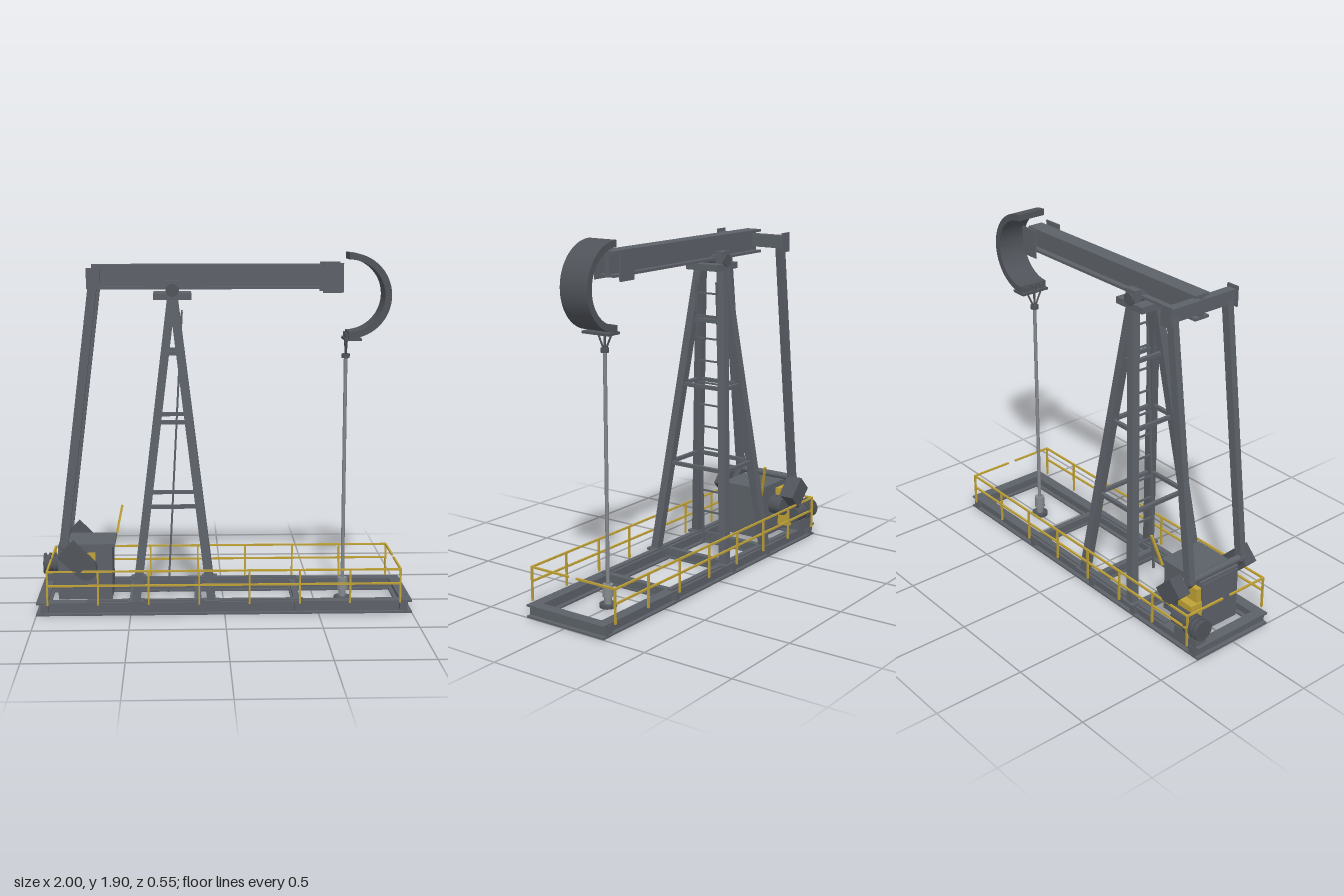
import * as THREE from 'three';
import { toCreasedNormals } from 'three/addons/utils/BufferGeometryUtils.js';

export function createModel() {
  const root = new THREE.Group();
  root.name = 'pumpJack';
  const mat = (name, color) => {
    const m = new THREE.MeshStandardMaterial({ color });
    m.name = name;
    return m;
  };
  const steel = mat('steel grey', 0x5c6168);
  const dark = mat('dark steel', 0x50545a);
  const bright = mat('bare metal', 0x84888c);
  const yellow = mat('safety yellow', 0xbfa136);

  const V = (x, y, z) => new THREE.Vector3(x, y, z);
  const add = (name, geo, m, parent = root) => {
    const mesh = new THREE.Mesh(geo, m);
    mesh.name = name;
    parent.add(mesh);
    return mesh;
  };
  // box given by its min and max on each axis
  const box = (name, m, x0, x1, y0, y1, z0, z1, parent = root) => {
    const b = add(name, new THREE.BoxGeometry(x1 - x0, y1 - y0, z1 - z0), m, parent);
    b.position.set((x0 + x1) / 2, (y0 + y1) / 2, (z0 + z1) / 2);
    return b;
  };
  // rectangular bar between two points: w across, d deep along z (or y for bars along z)
  const bar = (name, m, a, b, w, d, parent = root) => {
    const mesh = add(name, new THREE.BoxGeometry(w, d, a.distanceTo(b)), m, parent);
    const dir = b.clone().sub(a);
    if (Math.abs(dir.z) < 0.8 * dir.length()) mesh.up.set(0, 0, 1);
    mesh.position.copy(a).lerp(b, 0.5);
    mesh.lookAt(b);
    return mesh;
  };
  // round rod between two points
  const rod = (name, m, a, b, r, parent = root, seg = 12, r2 = r) => {
    const mesh = add(name, new THREE.CylinderGeometry(r2, r, a.distanceTo(b), seg), m, parent);
    mesh.position.copy(a).lerp(b, 0.5);
    mesh.quaternion.setFromUnitVectors(V(0, 1, 0), b.clone().sub(a).normalize());
    return mesh;
  };
  // I-section girder running along z, centred on its own origin
  const girder = (name, m, len, h, w, flange, web, parent = root) => {
    const s = new THREE.Shape();
    const a = w / 2, b = web / 2, t = h / 2, f = t - flange;
    [[-a, -t], [a, -t], [a, -f], [b, -f], [b, f], [a, f], [a, t], [-a, t], [-a, f], [-b, f], [-b, -f], [-a, -f]]
      .forEach(([x, y], i) => (i ? s.lineTo(x, y) : s.moveTo(x, y)));
    const g = new THREE.ExtrudeGeometry(s, { depth: len, bevelEnabled: false });
    g.translate(0, 0, -len / 2);
    return add(name, g, m, parent);
  };
  const group = (name) => {
    const g = new THREE.Group();
    g.name = name;
    root.add(g);
    return g;
  };

  // skid base
  const base = group('skidBase');
  for (const s of [-1, 1]) {
    const side = girder('sideGirder', steel, 1.9, 0.07, 0.06, 0.01, 0.014, base);
    side.rotation.y = Math.PI / 2;
    side.position.set(0, 0.04, s * 0.22);
    girder('endGirder', steel, 0.5, 0.07, 0.06, 0.01, 0.014, base).position.set(s * 0.97, 0.04, 0);
    box('deckStrip', steel, -0.73, 0.42, 0.075, 0.084, s * 0.22 - 0.015, s * 0.22 + 0.015, base);
    for (const x of [-0.95, -0.49, -0.14, 0.39, 0.95])
      box('stiffener', steel, x - 0.016, x + 0.016, 0.022, 0.066, s * 0.235 - 0.018, s * 0.235 + 0.018, base);
  }
  for (const x of [-0.49, -0.14, 0.39])
    girder('crossGirder', steel, 0.43, 0.06, 0.034, 0.009, 0.012, base).position.set(x, 0.042, 0);

  // handrail around the skid, open in the middle of each end
  const rail = group('handrail');
  for (const s of [-1, 1]) {
    for (let i = 0; i < 8; i++) {
      const x = -0.937 + i * 0.267;
      bar('post', yellow, V(x, 0.07, s * 0.27), V(x, 0.255, s * 0.27), 0.01, 0.01, rail);
    }
    for (const y of [0.175, 0.252])
      bar('longRail', yellow, V(-0.94, y, s * 0.27), V(0.935, y, s * 0.27), 0.01, 0.01, rail);
    for (const x of [-0.937, 0.932])
      bar('endRail', yellow, V(x, 0.252, s * 0.27), V(x, 0.252, s * 0.025), 0.01, 0.01, rail);
  }

  // four-legged tower
  const tower = group('tower');
  const legAt = (sx, sz, y) => {
    const t = (y - 0.08) / 1.58;
    return V(-0.27 + sx * (0.2 - 0.193 * t), y, sz * (0.232 - 0.157 * t));
  };
  for (const s of [-1, 1]) {
    for (const q of [-1, 1]) {
      bar('leg', steel, legAt(s, q, 0.08), legAt(s, q, 1.67), 0.045, 0.045, tower);
      box('footPlate', steel, -0.27 + s * 0.2 - 0.042, -0.27 + s * 0.2 + 0.042, 0.074, 0.086,
        q * 0.235 - 0.034, q * 0.235 + 0.034, tower);
    }
    for (const y of [0.58, 1.025, 1.385]) {
      bar('sideBrace', steel, legAt(-1, s, y), legAt(1, s, y), 0.02, 0.02, tower);
      bar('crossBrace', steel, legAt(s, -1, y), legAt(s, 1, y), 0.02, 0.02, tower);
    }
  }
  box('saddlePlate', steel, -0.37, -0.17, 1.665, 1.7, -0.1, 0.1, tower);
  for (const s of [-1, 1])
    box('bearingBlock', steel, -0.305, -0.235, 1.695, 1.765, s * 0.07 - 0.022, s * 0.07 + 0.022, tower);
  rod('trunnion', dark, V(-0.27, 1.715, -0.105), V(-0.27, 1.715, 0.105), 0.034, tower, 24);

  // ladder inside the tower
  const ladder = group('ladder');
  const ladderX = (y) => -0.3 + 0.08 * (y - 0.08) / 1.52;
  for (const s of [-1, 1])
    bar('ladderRail', steel, V(ladderX(0.08), 0.08, s * 0.067), V(ladderX(1.6), 1.6, s * 0.067), 0.01, 0.012, ladder);
  for (let y = 0.15; y < 1.58; y += 0.126)
    bar('rung', steel, V(ladderX(y), y, -0.067), V(ladderX(y), y, 0.067), 0.009, 0.009, ladder);

  // walking beam with cheek plates at the head end
  const beam = group('walkingBeam');
  const main = girder('beam', steel, 1.32, 0.13, 0.09, 0.014, 0.024, beam);
  main.rotation.y = Math.PI / 2;
  main.position.set(-0.03, 1.782, 0);
  for (const s of [-1, 1])
    box('cheekPlate', steel, 0.52, 0.63, 1.7, 1.855, s * 0.08 - 0.004, s * 0.08 + 0.004, beam);

  // curved head
  const head = group('head');
  const arc = new THREE.Shape();
  arc.absarc(0, 0, 0.225, -Math.PI / 2, Math.PI / 2, false);
  arc.absarc(0, 0, 0.19, Math.PI / 2, -Math.PI / 2, true);
  const arcGeo = new THREE.ExtrudeGeometry(arc, { depth: 0.17, bevelEnabled: false, curveSegments: 32 });
  add('headArc', toCreasedNormals(arcGeo, 0.6), dark, head).position.set(0.66, 1.683, -0.085);
  box('hangerPlate', dark, 0.64, 0.73, 1.445, 1.458, -0.085, 0.085, head);
  for (const z of [-0.05, 0, 0.05])
    rod('hangerBolt', dark, V(0.655, 1.45, z), V(0.655, 1.485, z), 0.01, head);

  // bridle, polished rod and wellhead
  const well = group('wellString');
  for (const s of [-1, 1])
    rod('bridleCable', dark, V(0.655, 1.455, s * 0.05), V(0.655, 1.365, s * 0.008), 0.005, well, 8);
  rod('bridleCentre', dark, V(0.655, 1.36, 0), V(0.655, 1.45, 0), 0.006, well, 8);
  rod('carrierBar', dark, V(0.655, 1.347, 0), V(0.655, 1.37, 0), 0.022, well, 16);
  rod('polishedRod', bright, V(0.655, 0.1, 0), V(0.655, 1.35, 0), 0.01, well);
  rod('wellFlange', dark, V(0.655, 0.012, 0), V(0.655, 0.03, 0), 0.046, well, 24);
  rod('wellPipe', bright, V(0.655, 0.03, 0), V(0.655, 0.075, 0), 0.02, well, 20);
  rod('stuffingBox', bright, V(0.655, 0.07, 0), V(0.655, 0.135, 0), 0.03, well, 24, 0.027);

  // equalizer and pitman arms
  const drive = group('drive');
  box('equalizer', steel, -0.7, -0.65, 1.752, 1.822, -0.215, 0.215, drive);
  rod('wristBar', steel, V(-0.855, 0.38, -0.2), V(-0.855, 0.38, 0.2), 0.02, drive, 20);
  for (const s of [-1, 1]) {
    box('equalizerEnd', steel, -0.71, -0.64, 1.732, 1.838, s * 0.216 - 0.005, s * 0.216 + 0.005, drive);
    bar('pitmanArm', steel, V(-0.852, 0.37, s * 0.18), V(-0.676, 1.78, s * 0.18), 0.046, 0.036, drive);
    // crank and counterweight
    bar('crankArm', dark, V(-0.72, 0.225, s * 0.178), V(-0.86, 0.385, s * 0.178), 0.05, 0.036, drive);
    const weight = add('counterweight', new THREE.BoxGeometry(0.14, 0.11, 0.078), dark, drive);
    weight.position.set(-0.79, 0.317, s * 0.236);
    weight.rotation.z = -Math.PI / 4;
    rod('crankHub', dark, V(-0.735, 0.24, s * 0.12), V(-0.735, 0.24, s * 0.205), 0.055, drive, 28);
  }

  // gearbox
  const gear = group('gearbox');
  box('gearCase', steel, -0.89, -0.6, 0.06, 0.35, -0.125, 0.125, gear);
  box('gearLid', steel, -0.885, -0.585, 0.35, 0.365, -0.132, 0.132, gear);
  box('gearPlate', yellow, -0.77, -0.69, 0.25, 0.317, 0.125, 0.133, gear);
  box('beltGuard', yellow, -0.89, -0.79, 0.1, 0.25, -0.2, -0.125, gear);
  box('beltGuardTop', yellow, -0.88, -0.76, 0.25, 0.33, -0.155, -0.125, gear);
  bar('brakeLever', yellow, V(-0.592, 0.33, -0.135), V(-0.555, 0.51, -0.18), 0.013, 0.012, gear);

  // motor with cooling rings
  const motor = group('motor');
  rod('motorBody', dark, V(-0.99, 0.17, -0.215), V(-0.8, 0.17, -0.215), 0.048, motor, 28);
  for (const x of [-0.993, -0.965, -0.938, -0.91])
    rod('motorRing', dark, V(x - 0.006, 0.17, -0.215), V(x + 0.006, 0.17, -0.215), 0.058, motor, 28);
  box('motorFoot', steel, -0.98, -0.82, 0.075, 0.13, -0.25, -0.18, motor);

  return root;
}
